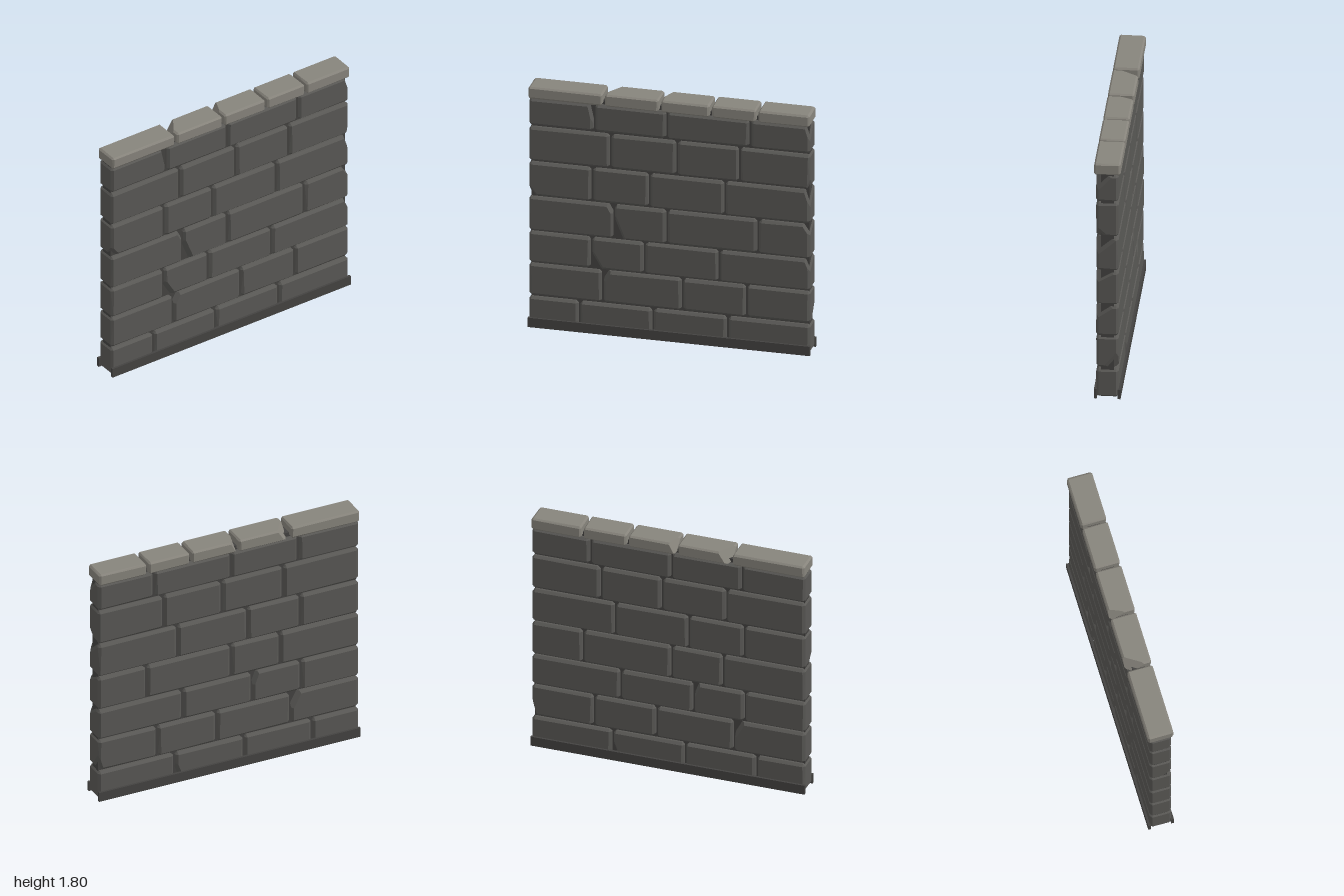
import * as THREE from 'three';
import { ConvexGeometry } from 'three/addons/geometries/ConvexGeometry.js';

const material = (color) => new THREE.MeshStandardMaterial({ color, flatShading: true });

let seed = 7;
const jitter = (amount) => {
  seed = (seed * 16807) % 2147483647;
  return (seed / 2147483647 - 0.5) * 2 * amount;
};

// Keeps the part of a convex point set beyond the slanted plane across one corner
function chipCorner(points, half, { corner, size }) {
  const depth = (p) => p.toArray().reduce(
    (sum, v, i) => sum + (half[i] - corner[i] * v) / size[i], -1);
  const kept = points.filter((p) => depth(p) >= 0);
  const lost = points.filter((p) => depth(p) < 0);
  const cuts = [];
  for (const a of kept) for (const b of lost) {
    const da = depth(a);
    cuts.push(a.clone().lerp(b, da / (da - depth(b))));
  }
  return [...kept, ...cuts];
}

// Stone block with bevelled edges, slightly uneven corners and optional chips
function stone(w, h, d, bevel, chips = []) {
  const half = [w / 2, h / 2, d / 2];
  let points = [];
  for (const sx of [-1, 1]) for (const sy of [-1, 1]) for (const sz of [-1, 1]) {
    const dx = jitter(0.004), dy = jitter(0.003);
    for (let face = 0; face < 3; face++) {
      const c = [sx, sy, sz].map((s, i) => s * (half[i] - (i === face ? 0 : bevel)));
      points.push(new THREE.Vector3(c[0] + (face === 0 ? 0 : dx), c[1] + (face === 1 ? 0 : dy), c[2]));
    }
  }
  for (const chip of chips) points = chipCorner(points, half, chip);
  return new ConvexGeometry(points);
}

// Courses from the ground up: bottom, top and the joints between blocks
const courses = [
  { y: [0.01, 0.222], joints: [-0.64, -0.12, 0.41] },
  { y: [0.235, 0.47], joints: [-0.475, 0.09, 0.545] },
  { y: [0.48, 0.71], joints: [-0.555, -0.18, 0.35] },
  { y: [0.72, 0.972], joints: [-0.395, -0.02, 0.625] },
  { y: [0.982, 1.232], joints: [-0.55, -0.145, 0.39] },
  { y: [1.245, 1.497], joints: [-0.42, 0.05, 0.495] },
  { y: [1.51, 1.71], joints: [-0.535, -0.02, 0.57] },
];

// Chips by "course-block": which corner, and how far along x, y and z
const chip = (corner, size) => ({ corner, size });
const chips = {
  '0-2': [chip([1, -1, -1], [0.06, 0.16, 0.08])],
  '1-0': [chip([1, 1, -1], [0.08, 0.15, 0.08])],
  '1-1': [chip([-1, 1, 1], [0.06, 0.1, 0.07])],
  '1-3': [chip([1, -1, -1], [0.04, 0.14, 0.11])],
  '2-1': [chip([-1, -1, 1], [0.09, 0.15, 0.09]), chip([1, 1, -1], [0.05, 0.13, 0.07])],
  '2-3': [chip([1, 1, 1], [0.045, 0.1, 0.14])],
  '3-0': [chip([1, 1, 1], [0.05, 0.09, 0.07])],
  '3-1': [chip([-1, -1, 1], [0.08, 0.2, 0.09])],
  '3-3': [chip([1, 1, 1], [0.06, 0.09, 0.15])],
  '4-0': [chip([-1, -1, 1], [0.07, 0.09, 0.08])],
  '4-3': [chip([1, 1, 1], [0.045, 0.14, 0.16])],
  '5-3': [chip([1, -1, 1], [0.03, 0.08, 0.09])],
  '6-0': [chip([1, 1, 1], [0.04, 0.18, 0.08])],
  '6-3': [chip([1, 1, 1], [0.04, 0.13, 0.12])],
  'cap-1': [chip([-1, 1, -1], [0.09, 0.14, 0.14])],
  'cap-2': [chip([-1, 1, -1], [0.05, 0.1, 0.12])],
};

export function createModel() {
  const wall = new THREE.Group();
  wall.name = 'stoneWall';
  const blockMaterial = material(0x595855);
  const capMaterial = material(0x87847c);
  const darkMaterial = material(0x444341);

  const addMesh = (parent, name, geometry, mat, x, y, z) => {
    const mesh = new THREE.Mesh(geometry, mat);
    mesh.name = name;
    mesh.position.set(x, y, z);
    parent.add(mesh);
  };

  // Lays one row of stones between x = -1 and x = 1
  const layRow = (name, key, [y0, y1], joints, depth, bevel, gap, mat) => {
    const row = new THREE.Group();
    row.name = name;
    const ends = [-1 - gap / 2 + 0.004, ...joints, 1 + gap / 2 - 0.004];
    for (let i = 0; i < ends.length - 1; i++) {
      const width = ends[i + 1] - ends[i] - gap;
      const geometry = stone(width, y1 - y0, depth, bevel, chips[`${key}-${i}`]);
      addMesh(row, 'stone', geometry, mat, (ends[i] + ends[i + 1]) / 2, (y0 + y1) / 2, 0);
    }
    wall.add(row);
  };

  courses.forEach(({ y, joints }, i) =>
    layRow('course', i, y, joints, 0.154, 0.017, 0.016, blockMaterial));
  layRow('capStones', 'cap', [1.712, 1.8], [-0.465, -0.065, 0.295, 0.625], 0.182, 0.012, 0.02, capMaterial);

  // Recessed mortar behind the joints
  addMesh(wall, 'mortarCore', new THREE.BoxGeometry(1.97, 1.72, 0.09), darkMaterial, 0, 0.88, 0);

  // Skirting along the foot, front and back
  for (const side of [-1, 1]) {
    addMesh(wall, 'footStrip', new THREE.BoxGeometry(2, 0.07, 0.02), darkMaterial, 0, 0.035, side * 0.082);
  }
  return wall;
}
